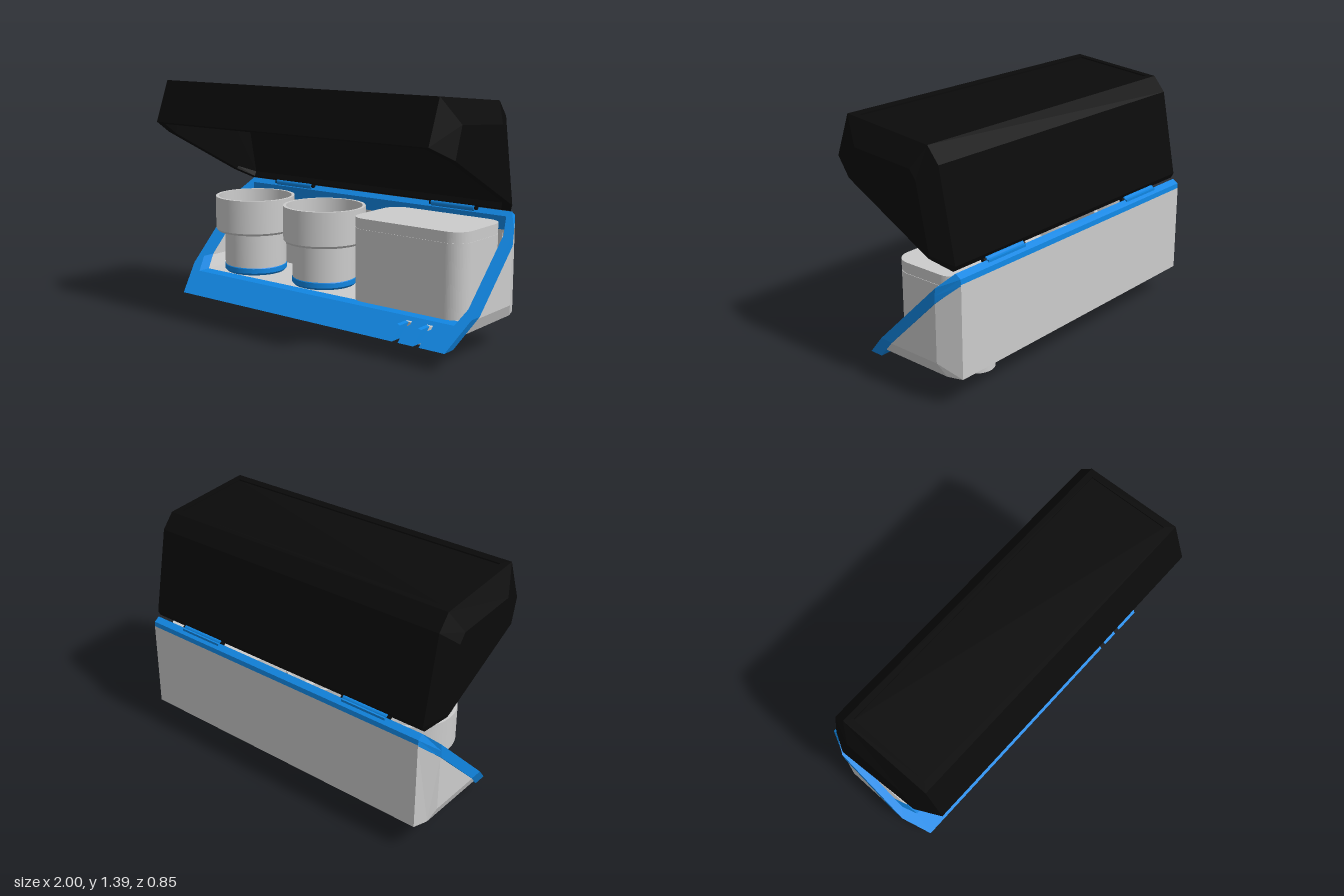
import * as THREE from 'three';

const mat = (color) => new THREE.MeshStandardMaterial({ color, side: THREE.DoubleSide });
const grey = mat(0xcccccc), blue = mat(0x1186e2), black = mat(0x0a0a0a);

function add(parent, name, geometry, material, x = 0, y = 0, z = 0) {
  const m = new THREE.Mesh(geometry, material);
  m.name = name;
  m.position.set(x, y, z);
  parent.add(m);
  return m;
}

// Flat faces from lists of corner points, each filled as a fan
function faces(polys) {
  const out = [];
  for (const p of polys)
    for (let i = 1; i < p.length - 1; i++) out.push(...p[0], ...p[i], ...p[i + 1]);
  const g = new THREE.BufferGeometry();
  g.setAttribute('position', new THREE.Float32BufferAttribute(out, 3));
  g.computeVertexNormals();
  return g;
}
const flip = (p) => [-p[0], p[1], p[2]];
const mirrored = (polys) => [...polys, ...polys.map((p) => p.map(flip).reverse())];

// Slanted rim: a chamfered outline with an opening and two cable slots, sheared back
const rimZ = (y) => 0.25 - (y - 0.1) * 1.016;
function rimBack(y) {
  if (y > 0.72) return [0.675, -0.425]; // rear edge
  if (y > 0.7) return [0.63, -0.37]; // upright inner wall at the rear
  if (y > 0.6) return [0.565, -0.3]; // chamfered rear corners
  return [y, rimZ(y) - 0.08];
}
function rimGeometry() {
  const v = (list) => list.map((p) => new THREE.Vector2(...p));
  const slot = (c) => [[c - 0.018, 0.1], [c - 0.018, 0.17], [c - 0.038, 0.175], [c - 0.038, 0.197],
    [c + 0.038, 0.197], [c + 0.038, 0.175], [c + 0.018, 0.17], [c + 0.018, 0.1]];
  const shape = new THREE.Shape(v([[-0.94, 0.1], ...slot(0.635), ...slot(0.767), [0.94, 0.1],
    [1, 0.25], [1, 0.65], [0.94, 0.73], [-0.94, 0.73], [-1, 0.65], [-1, 0.25]]));
  shape.holes.push(new THREE.Path(v([[-0.92, 0.215], [-0.955, 0.29], [-0.955, 0.62], [-0.92, 0.705],
    [0.92, 0.705], [0.955, 0.62], [0.955, 0.29], [0.92, 0.215]])));
  const g = new THREE.ExtrudeGeometry(shape, { depth: 1, steps: 2, bevelEnabled: false });
  const p = g.attributes.position;
  for (let i = 0; i < p.count; i++) {
    const y = p.getY(i), t = p.getZ(i), [backY, backZ] = rimBack(y);
    if (y > 0.72 && t === 0.5) p.setXYZ(i, p.getX(i), 0.708, -0.422); // bevel along the rear edge
    else p.setXYZ(i, p.getX(i), backY + (y - backY) * t, backZ + (rimZ(y) - backZ) * t);
  }
  g.computeVertexNormals();
  return g;
}

// Wedge tray: outer and inner skins, chamfered at the ends
function trayGeometry() {
  const outer = {
    A: [0.94, 0.17, -0.425], G: [0.967, 0.17, -0.345], B: [0.967, 0.17, 0.099],
    C: [0.94, 0.68, -0.425], D: [0.995, 0.24, -0.3], E: [0.995, 0.24, 0.028], F: [0.995, 0.563, -0.3],
  };
  const inner = {};
  for (const [k, [x, y, z]] of Object.entries(outer))
    inner[k] = [x * 0.958, y + ('CF'.includes(k) ? -0.05 : 0.045), z + ('BE'.includes(k) ? -0.045 : 0.055)];
  const skin = ({ A, G, B, C, D, E, F }) => [
    [A, G, B, flip(B), flip(G), flip(A)],
    [A, flip(A), flip(C), C],
    ...mirrored([[D, F, E], [G, D, E, B], [A, C, F, D, G]]),
  ];
  return faces([...skin(outer), ...skin(inner)]);
}

// Open lid: full profile at x = 0.94, smaller one on the end faces
function lidGeometry() {
  const P = [[0.425, 1.155], [0.335, 1.39], [-0.225, 1.335], [-0.295, 1.25], [-0.39, 0.765], [-0.375, 0.735]]
    .map(([z, y]) => [0.94, y, z]);
  const Q = [[0.28, 1.08], [0.225, 1.25], [-0.16, 1.22], [-0.2, 1.17], [-0.275, 0.81], [-0.27, 0.793]]
    .map(([z, y]) => [1, y, z]);
  const shrink = ([x, y, z]) => [x * 0.955, 0.945 + (y - 0.945) * 0.94, 0.025 + (z - 0.025) * 0.94];
  const band = (a, b) => [a, b, flip(b), flip(a)];
  const ends = (p, q) => mirrored([q, ...[0, 1, 2, 3, 4].map((i) => [p[i], q[i], q[i + 1], p[i + 1]])]);
  const p = P.map(shrink), q = Q.map(shrink);
  const outer = [0, 2, 3, 4].map((i) => band(P[i], P[i + 1]));
  const inner = [0, 1, 2, 3, 4].map((i) => band(p[i], p[i + 1]));
  // Top with a shallow recessed panel
  const onTop = (z, drop) => [0.9, 1.39 + (z - 0.335) * 0.0982 - drop, z];
  const [a, b, c, d] = [onTop(0.29, 0), onTop(-0.19, 0), onTop(0.29, 0.008), onTop(-0.19, 0.008)];
  const top = [band(P[1], a), band(b, P[2]), band(a, c), band(d, b), band(c, d),
    ...mirrored([[P[1], P[2], b, a], [a, b, d, c]])];
  // Flat edge between the skins
  const edge = [band(P[0], p[0]), band(P[5], p[5]),
    ...mirrored([[P[0], Q[0], q[0], p[0]], [Q[0], Q[5], q[5], q[0]], [Q[5], P[5], p[5], q[5]]])];
  return faces([...outer, ...top, ...ends(P, Q), ...inner, ...ends(p, q), ...edge]);
}

// Lathe with sharp corners: one band per profile segment
function turned(parent, name, pts, material, x, y, z) {
  const g = new THREE.Group();
  g.name = name;
  g.position.set(x, y, z);
  for (let i = 0; i < pts.length - 1; i++)
    add(g, name + 'Band', new THREE.LatheGeometry([pts[i], pts[i + 1]].map((p) => new THREE.Vector2(...p)), 48), material);
  parent.add(g);
}

// Upright block with rounded vertical corners
function roundedBlock(w, d, h, r) {
  const s = new THREE.Shape(), a = w / 2, b = d / 2;
  s.absarc(a - r, b - r, r, 0, Math.PI / 2);
  s.absarc(r - a, b - r, r, Math.PI / 2, Math.PI);
  s.absarc(r - a, r - b, r, Math.PI, Math.PI * 1.5);
  s.absarc(a - r, r - b, r, Math.PI * 1.5, Math.PI * 2);
  return new THREE.ExtrudeGeometry(s, { depth: h, bevelEnabled: false, curveSegments: 10 }).rotateX(-Math.PI / 2);
}

export function createModel() {
  const model = new THREE.Group();
  model.name = 'hingedCase';

  add(model, 'rim', rimGeometry(), blue);
  add(model, 'tray', trayGeometry(), grey);
  add(model, 'lid', lidGeometry(), black);

  // Stepped cups on blue base rings
  for (const x of [-0.685, -0.14]) {
    turned(model, 'cup', [[0, 0.262], [0.187, 0.262], [0.187, 0.468], [0.228, 0.468], [0.24, 0.482],
      [0.24, 0.68], [0.222, 0.68], [0.218, 0.485], [0.168, 0.48], [0.168, 0.28], [0, 0.28]], grey, x, 0, -0.125);
    turned(model, 'cupBase', [[0, 0.217], [0.178, 0.217], [0.19, 0.23], [0.19, 0.258], [0.187, 0.262]], blue, x, 0, -0.125);
  }

  // Storage box and its cover, with a fine seam between
  add(model, 'storageBox', roundedBlock(0.73, 0.43, 0.407, 0.1), grey, 0.553, 0.213, -0.145);
  add(model, 'boxSeam', roundedBlock(0.725, 0.425, 0.004, 0.0975), grey, 0.553, 0.62, -0.145);
  add(model, 'boxCover', roundedBlock(0.73, 0.43, 0.056, 0.1), grey, 0.553, 0.624, -0.145);

  // Hollow drain pipe under the tray
  turned(model, 'drainPipe', [[0.102, 0.18], [0.102, 0], [0.092, 0], [0.092, 0.165], [0, 0.165]], grey, 0.55, 0, -0.15);

  // Hinges
  for (const x of [-0.58, 0.58]) {
    const barrel = (r, l) => new THREE.CylinderGeometry(r, r, l, 20).rotateZ(Math.PI / 2);
    add(model, 'hingeBarrel', barrel(0.019, 0.28), blue, x, 0.727, -0.376);
    add(model, 'hingePin', barrel(0.012, 0.31), black, x, 0.727, -0.376);
    add(model, 'hingeLeaf', new THREE.BoxGeometry(0.28, 0.02, 0.03), blue, x, 0.723, -0.39);
  }
  return model;
}
